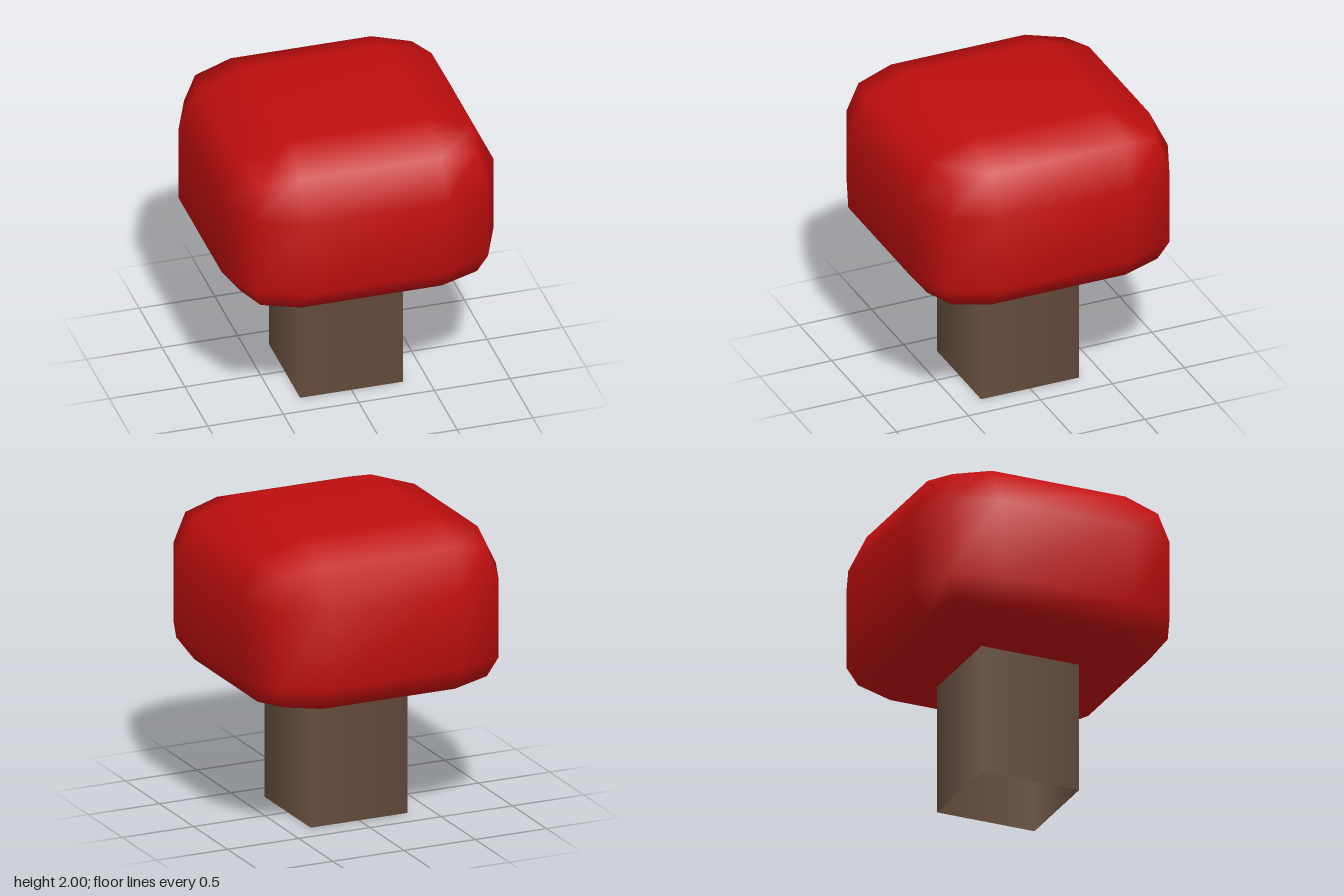
import * as THREE from 'three';
import { mergeVertices } from 'three/addons/utils/BufferGeometryUtils.js';

// Box with two-step rounded edges; the upper and lower rounding differ.
function roundedCap(core, radius, coreBottom, coreTop, dropBottom, riseTop) {
  const geo = new THREE.BoxGeometry(3, 3, 3, 3, 3, 3);
  geo.deleteAttribute('normal');
  geo.deleteAttribute('uv');
  const merged = mergeVertices(geo);
  const pos = merged.attributes.position;
  const p = new THREE.Vector3();
  const dir = new THREE.Vector3();
  const outer = (v) => (Math.abs(v) > 1 ? Math.sign(v) : 0);
  for (let i = 0; i < pos.count; i++) {
    p.fromBufferAttribute(pos, i);
    dir.set(outer(p.x), outer(p.y), outer(p.z)).normalize();
    pos.setXYZ(
      i,
      Math.sign(p.x) * core + dir.x * radius,
      p.y > 0 ? coreTop + dir.y * riseTop : coreBottom + dir.y * dropBottom,
      Math.sign(p.z) * core + dir.z * radius
    );
  }
  merged.computeVertexNormals();
  return merged;
}

export function createModel() {
  const group = new THREE.Group();
  const red = new THREE.MeshStandardMaterial({ color: 0xc00e0e });
  red.name = 'capRed';
  const brown = new THREE.MeshStandardMaterial({ color: 0x6a5140, side: THREE.DoubleSide });
  brown.name = 'stemBrown';

  // Broad rounded cap
  const cap = new THREE.Mesh(roundedCap(0.465, 0.435, 1.11, 1.63, 0.235, 0.37), red);
  cap.name = 'cap';
  group.add(cap);

  // Hollow square stem with softly shaded corners, open underneath
  const half = 0.34;
  const height = 0.88;
  const stemGeo = new THREE.CylinderGeometry(half * Math.SQRT2, half * Math.SQRT2, height, 4, 1, true);
  stemGeo.rotateY(Math.PI / 4);
  stemGeo.translate(0, height / 2, 0);
  const stem = new THREE.Mesh(stemGeo, brown);
  stem.name = 'stem';
  group.add(stem);

  return group;
}
